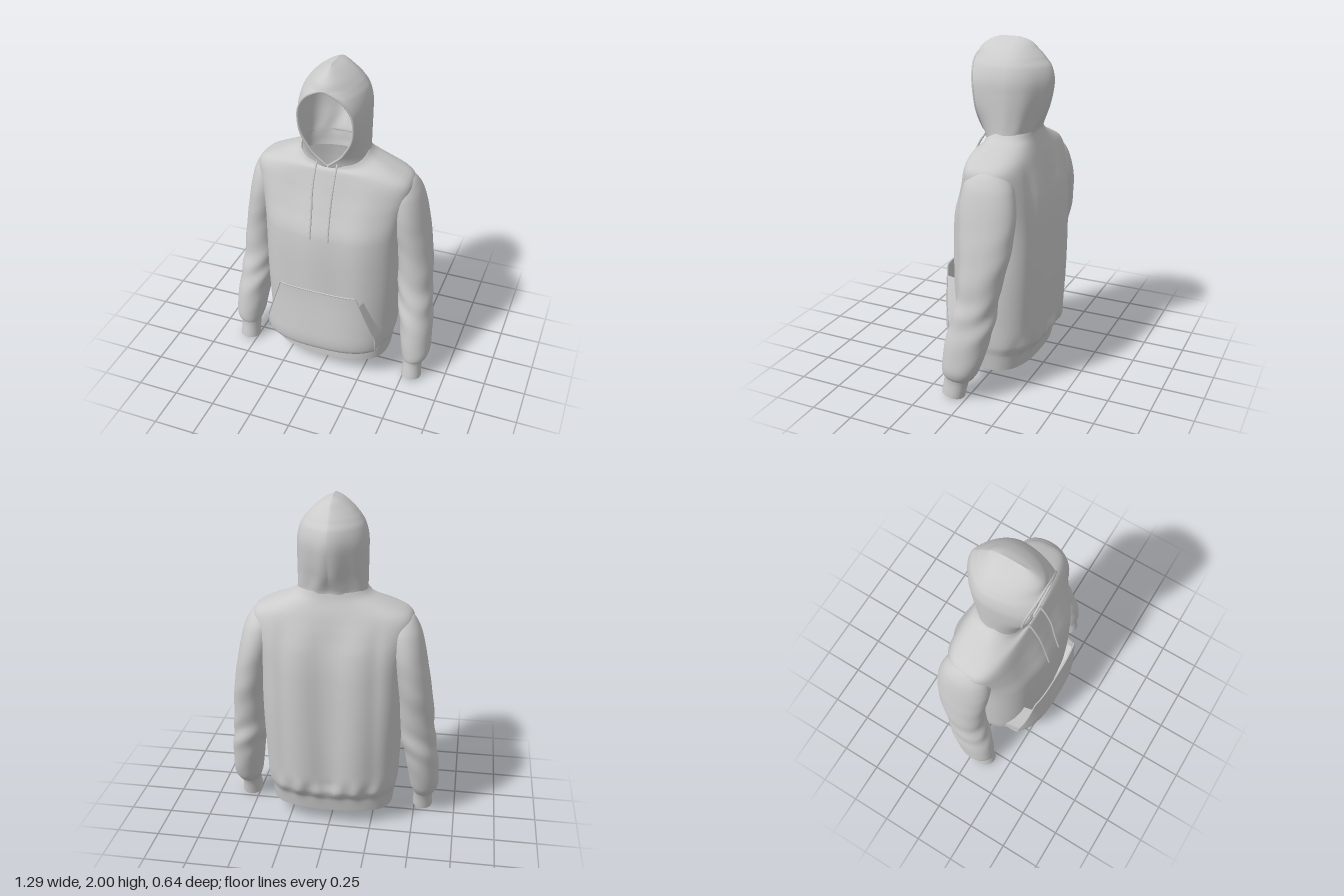
import * as THREE from 'three';

const material = new THREE.MeshStandardMaterial({ color: 0xcccccc, roughness: 0.9, side: THREE.DoubleSide });
const bump = (x, c, w) => Math.exp(-(((x - c) / w) ** 2));
const { smoothstep: smooth, lerp } = THREE.MathUtils;
const power = (v, e) => Math.sign(v) * Math.abs(v) ** e;
const TAU = Math.PI * 2;

// Smooth lookup in a table of [height, ...values]
function sample(table, y) {
  let i = 0;
  while (i < table.length - 2 && y > table[i + 1][0]) i++;
  const a = table[i], b = table[i + 1], h = b[0] - a[0];
  const t = THREE.MathUtils.clamp((y - a[0]) / h, 0, 1);
  const p = table[Math.max(i - 1, 0)], n = table[Math.min(i + 2, table.length - 1)];
  return a.slice(1).map((va, k) => {
    const vb = b[k + 1];
    const ma = h * (vb - p[k + 1]) / (b[0] - p[0]);
    const mb = h * (n[k + 1] - va) / (n[0] - a[0]);
    const t2 = t * t, t3 = t2 * t;
    return (2 * t3 - 3 * t2 + 1) * va + (t3 - 2 * t2 + t) * ma + (3 * t2 - 2 * t3) * vb + (t3 - t2) * mb;
  });
}

// Grid surface from fn(u, v) -> [x, y, z]; closed joins u = 1 to u = 0
function surface(name, nu, nv, closed, fn) {
  const pos = [], idx = [], cols = closed ? nu : nu + 1;
  for (let j = 0; j <= nv; j++)
    for (let i = 0; i < cols; i++) pos.push(...fn(i / nu, j / nv));
  for (let j = 0; j < nv; j++)
    for (let i = 0; i < nu; i++) {
      const a = j * cols + i, b = j * cols + (i + 1) % cols;
      idx.push(a, b, b + cols, a, b + cols, a + cols);
    }
  const g = new THREE.BufferGeometry();
  g.setAttribute('position', new THREE.Float32BufferAttribute(pos, 3));
  g.setIndex(idx);
  g.computeVertexNormals();
  const mesh = new THREE.Mesh(g, material);
  mesh.name = name;
  return mesh;
}

function cord(name, points, radius, segments = 60) {
  const curve = new THREE.CatmullRomCurve3(points.map(p => new THREE.Vector3(...p)));
  const mesh = new THREE.Mesh(new THREE.TubeGeometry(curve, segments, radius, 6), material);
  mesh.name = name;
  return mesh;
}

// Torso: y, half width, front z, back z
const TORSO = [
  [0.10, 0.367, 0.205, -0.235], [0.19, 0.38, 0.205, -0.255], [0.21, 0.383, 0.21, -0.268],
  [0.26, 0.395, 0.237, -0.298], [0.40, 0.402, 0.245, -0.312], [0.65, 0.41, 0.25, -0.318],
  [1.00, 0.415, 0.238, -0.312], [1.15, 0.435, 0.19, -0.296], [1.25, 0.458, 0.155, -0.27],
  [1.32, 0.462, 0.134, -0.247], [1.36, 0.435, 0.122, -0.234], [1.395, 0.365, 0.112, -0.222],
  [1.43, 0.285, 0.102, -0.21], [1.455, 0.228, 0.096, -0.203], [1.49, 0.196, 0.09, -0.197],
];

function torsoPoint(theta, y) {
  const [w, zf, zb] = sample(TORSO, y);
  const s = Math.sin(theta), c = Math.cos(theta), zc = -0.03;
  // The back is squarer than the chest, above all across the shoulder blades
  const e = c > 0 ? 0.75 : lerp(0.75, 0.6, smooth(y, 0.3, 0.9) * (1 - smooth(y, 1.3, 1.48)));
  const x = w * power(s, e);
  let z = zc + (c > 0 ? zf - zc : zc - zb) * power(c, e);
  // Folds fade out towards hem and shoulders
  const f = smooth(y, 0.2, 0.32) * (1 - smooth(y, 1.15, 1.4));
  if (c < 0) {
    z += -c * f * (0.032 * bump(x, 0, 0.08) - 0.006 * bump(Math.abs(x), 0.17, 0.06) + 0.01 * bump(Math.abs(x), 0.27, 0.04));
    z += -c * 0.01 * bump(y, 0.26, 0.06) * Math.cos(x * 55);
  } else z += c * f * 0.005 * Math.cos(x * 22 + y);
  // Neckline dips at the front
  const dip = Math.max(0, c) * 0.07 * smooth(y, 1.38, 1.49);
  return [x, y - dip, z];
}

// Front surface of the torso at a given x
function torsoFront(x, y) {
  const [w, zf] = sample(TORSO, y);
  const k = Math.min(Math.abs(x) / w, 1) ** 2.67;
  return -0.03 + (zf + 0.03) * (1 - k) ** 0.375;
}

// Sleeve: y, inner x, outer x, front z, back z; the top tucks into the shoulder
const SLEEVE = [
  [0.00, 0.49, 0.612, 0.155, 0.02], [0.125, 0.493, 0.61, 0.138, -0.01], [0.15, 0.485, 0.63, 0.145, -0.035],
  [0.20, 0.47, 0.645, 0.145, -0.07], [0.30, 0.455, 0.643, 0.138, -0.11], [0.45, 0.43, 0.63, 0.11, -0.15],
  [0.60, 0.405, 0.61, 0.07, -0.17], [0.75, 0.395, 0.6, 0.06, -0.20], [0.90, 0.38, 0.58, 0.065, -0.235],
  [1.10, 0.34, 0.545, 0.08, -0.25], [1.24, 0.31, 0.512, 0.07, -0.225], [1.31, 0.3, 0.478, 0.045, -0.185],
  [1.345, 0.3, 0.445, 0.01, -0.14], [1.36, 0.32, 0.4, -0.03, -0.09],
];

function sleevePoint(side, theta, y) {
  const [xi, xo, zf, zb] = sample(SLEEVE, y);
  const s = Math.sin(theta) * side, c = Math.cos(theta);
  const f = smooth(y, 0.15, 0.25) * (1 - smooth(y, 0.95, 1.2));
  // Slanting creases, strongest round the elbow
  const r = 1 + f * (0.008 + 0.04 * bump(y, 0.53, 0.12)) * Math.sin(y * 32 + s * 2.5 + c * 2);
  const x = (xi + xo) / 2 + (xo - xi) / 2 * r * s;
  const z = (zf + zb) / 2 + (zf - zb) / 2 * r * power(c, 0.9);
  const tilt = (1 - smooth(y, 0.05, 0.35)) * 0.2 * (z - 0.09);
  return [side * x, y + tilt + 0.014 * (1 - smooth(y, 0, 0.14)), z];
}

// Hood: y, half width, half opening, front z, back z
const HOOD = [
  [1.39, 0.212, 0, 0.09, -0.19], [1.42, 0.206, 0.008, 0.1, -0.195], [1.46, 0.202, 0.055, 0.105, -0.198],
  [1.50, 0.2, 0.092, 0.11, -0.205], [1.60, 0.2, 0.146, 0.12, -0.25], [1.70, 0.2, 0.16, 0.13, -0.278],
  [1.78, 0.197, 0.147, 0.142, -0.286], [1.85, 0.178, 0.1, 0.158, -0.268], [1.89, 0.153, 0.038, 0.167, -0.236],
  [1.90, 0.145, 0, 0.167, -0.229], [1.94, 0.105, 0, 0.145, -0.19], [1.98, 0.048, 0, 0.09, -0.145],
  [2.00, 0, 0, 0.03, -0.08],
];

function hoodPoint(u, y) {
  const [w, open, zf, zb] = sample(HOOD, y);
  const zc = -0.065;
  const start = w > 0 ? Math.asin(Math.min(Math.max(open, 0) / w, 0.95)) : 0;
  const theta = start + u * (TAU - 2 * start);
  const s = Math.sin(theta), c = Math.cos(theta);
  const front = (zf - zc) / Math.cos(start);
  // Soft gathers towards the nape, sides narrowing to the back
  const gather = 0.03 * (1 - smooth(y, 1.5, 1.9)) * smooth(y, 1.42, 1.52) * Math.max(0, -c) * Math.cos(theta * 9);
  const narrow = lerp(1, 1.45, smooth(y, 1.48, 1.6));
  const x = w * (c < 0 ? power(s, narrow) : s) * (1 + gather);
  return [x, y, zc + (c > 0 ? front : zc - zb) * c * (1 + gather)];
}

// Pouch pocket with slanted hand openings
const pocketHalf = y => y < 0.34 ? 0.347 : lerp(0.347, 0.237, (y - 0.34) / 0.32);
function pocketPoint(u, y) {
  const k = 2 * u - 1, x = k * pocketHalf(y), low = smooth(y, 0.213, 0.237);
  const offset = 0.012 + low * lerp(0.065, 0.028 + 0.01 * k * k, smooth(y, 0.25, 0.66));
  return [x, y + 0.004 * Math.sin(x * 45) * (1 - low), torsoFront(x, y) + offset];
}

// Strip from the pocket edge back to the torso
function pocketReturn(side, t, y) {
  const [x, py, z] = pocketPoint(side > 0 ? 1 : 0, y);
  const inner = x + side * 0.012;
  return [lerp(x, inner, t), py, lerp(z, torsoFront(inner, y), t)];
}

export function createModel() {
  const model = new THREE.Group();
  model.name = 'hoodedSweatshirt';

  model.add(surface('body', 128, 90, true, (u, v) => torsoPoint(u * TAU, lerp(0.2, 1.49, v))));
  model.add(surface('hemBand', 128, 8, true, (u, v) => torsoPoint(u * TAU, lerp(0.1, 0.2, v))));

  for (const [side, label] of [[1, 'left'], [-1, 'right']]) {
    const part = (y0, y1) => (u, v) => sleevePoint(side, u * TAU, lerp(y0, y1, v));
    model.add(surface(label + 'Sleeve', 48, 100, true, part(0.13, 1.36)));
    model.add(surface(label + 'Cuff', 48, 8, true, part(0, 0.13)));
    model.add(surface(label + 'PocketSide', 4, 24, false,
      (u, v) => pocketReturn(side, side > 0 ? u : 1 - u, lerp(0.215, 0.6, v))));
    // Drawstring hanging off the chest
    const x = side * 0.055;
    model.add(cord(label + 'Drawstring', [
      [x * 1.1, 1.44, 0.105], [x * 1.1, 1.4, 0.135], [x * 1.08, 1.3, 0.182],
      [x, 1.15, 0.217], [x, 1.0, 0.25],
    ], 0.006));
  }

  // Hood and the rolled hem of its opening
  model.add(surface('hood', 96, 90, false, (u, v) => hoodPoint(u, lerp(1.39, 2, v))));
  const rim = [];
  for (let i = 0; i <= 20; i++) rim.push(hoodPoint(0, lerp(1.42, 1.9, i / 20)));
  for (let i = 19; i >= 0; i--) rim.push(hoodPoint(1, lerp(1.42, 1.9, i / 20)));
  model.add(cord('hoodRim', rim, 0.007, 120));

  // Pocket panel and its stitched border
  model.add(surface('pocket', 60, 60, false, (u, v) => pocketPoint(u, lerp(0.215, 0.66, v))));
  const border = [];
  for (let i = 0; i <= 16; i++) border.push(pocketPoint(0, lerp(0.215, 0.66, i / 16)));
  for (let i = 1; i <= 20; i++) border.push(pocketPoint(i / 20, 0.66));
  for (let i = 15; i >= 0; i--) border.push(pocketPoint(1, lerp(0.215, 0.66, i / 16)));
  model.add(cord('pocketBorder', border, 0.005, 120));

  return model;
}
